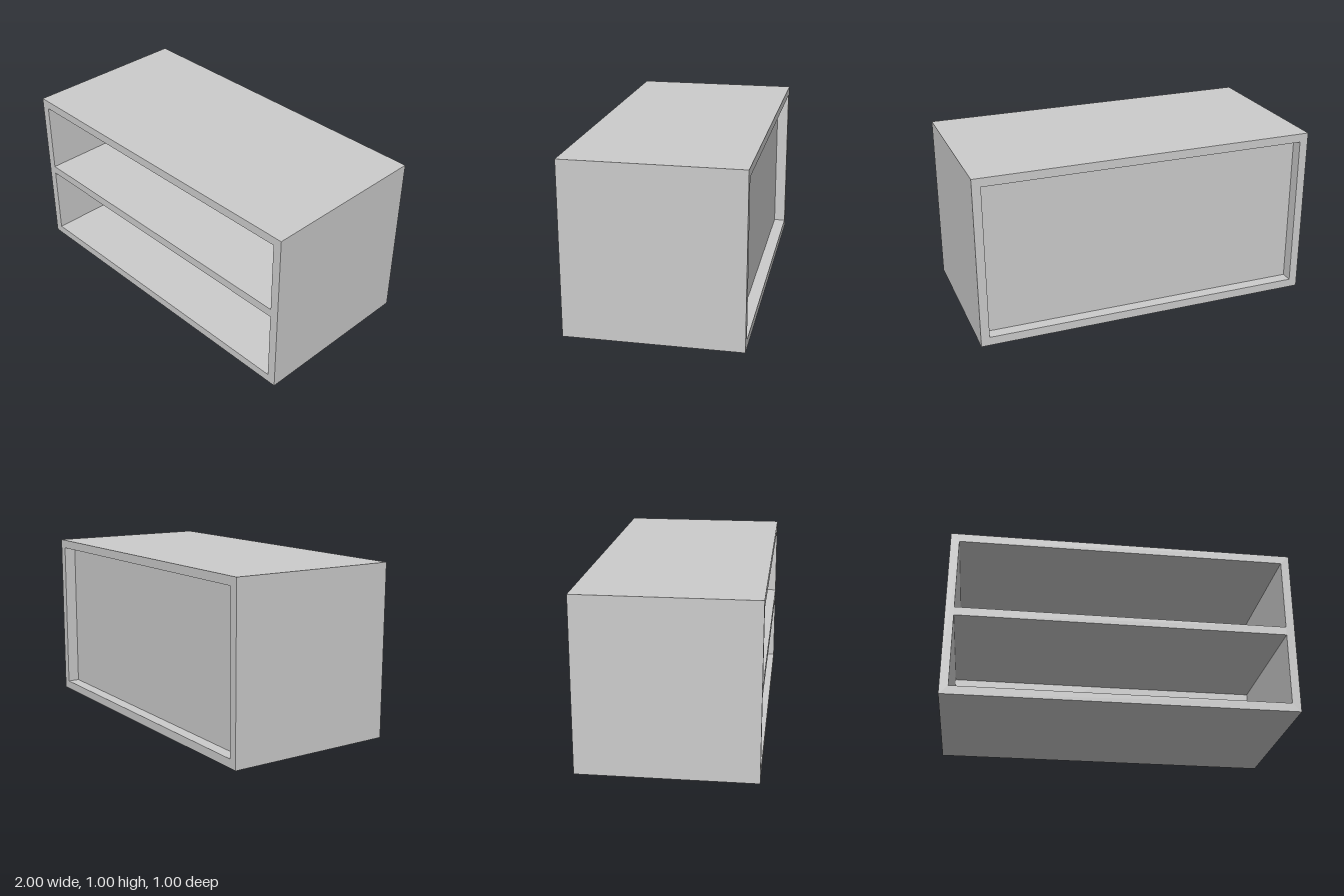
import * as THREE from 'three';

const W = 2, H = 1, D = 1; // overall size
const T = 0.05;            // board thickness
const RECESS = 0.07;       // back panel set in from the rear edge
const PANEL = 0.03;        // back panel thickness

export function createModel() {
  const group = new THREE.Group();
  group.name = 'openShelfCabinet';
  const material = new THREE.MeshStandardMaterial({ color: 0xcccccc });

  const add = (name, geometry, x, y, z) => {
    const mesh = new THREE.Mesh(geometry, material);
    mesh.name = name;
    mesh.position.set(x, y, z);
    group.add(mesh);
  };

  // Rectangle centred on x, standing on y = 0, inset on all sides
  const rectangle = (PathType, inset) => {
    const x = W / 2 - inset;
    return new PathType([
      [-x, inset], [x, inset], [x, H - inset], [-x, H - inset],
    ].map(([px, py]) => new THREE.Vector2(px, py)));
  };

  // Outer case: top, bottom and both sides as one open frame
  const frame = rectangle(THREE.Shape, 0);
  frame.holes.push(rectangle(THREE.Path, T));
  add('case', new THREE.ExtrudeGeometry(frame, { depth: D, bevelEnabled: false }), 0, 0, -D / 2);

  // Recessed back panel
  add('backPanel', new THREE.BoxGeometry(W - 2 * T, H - 2 * T, PANEL),
    0, H / 2, -D / 2 + RECESS + PANEL / 2);

  // Middle shelf, flush with the front and butting against the back panel
  const shelfDepth = D - RECESS - PANEL;
  add('shelf', new THREE.BoxGeometry(W - 2 * T, T, shelfDepth),
    0, H / 2, D / 2 - shelfDepth / 2);

  return group;
}
